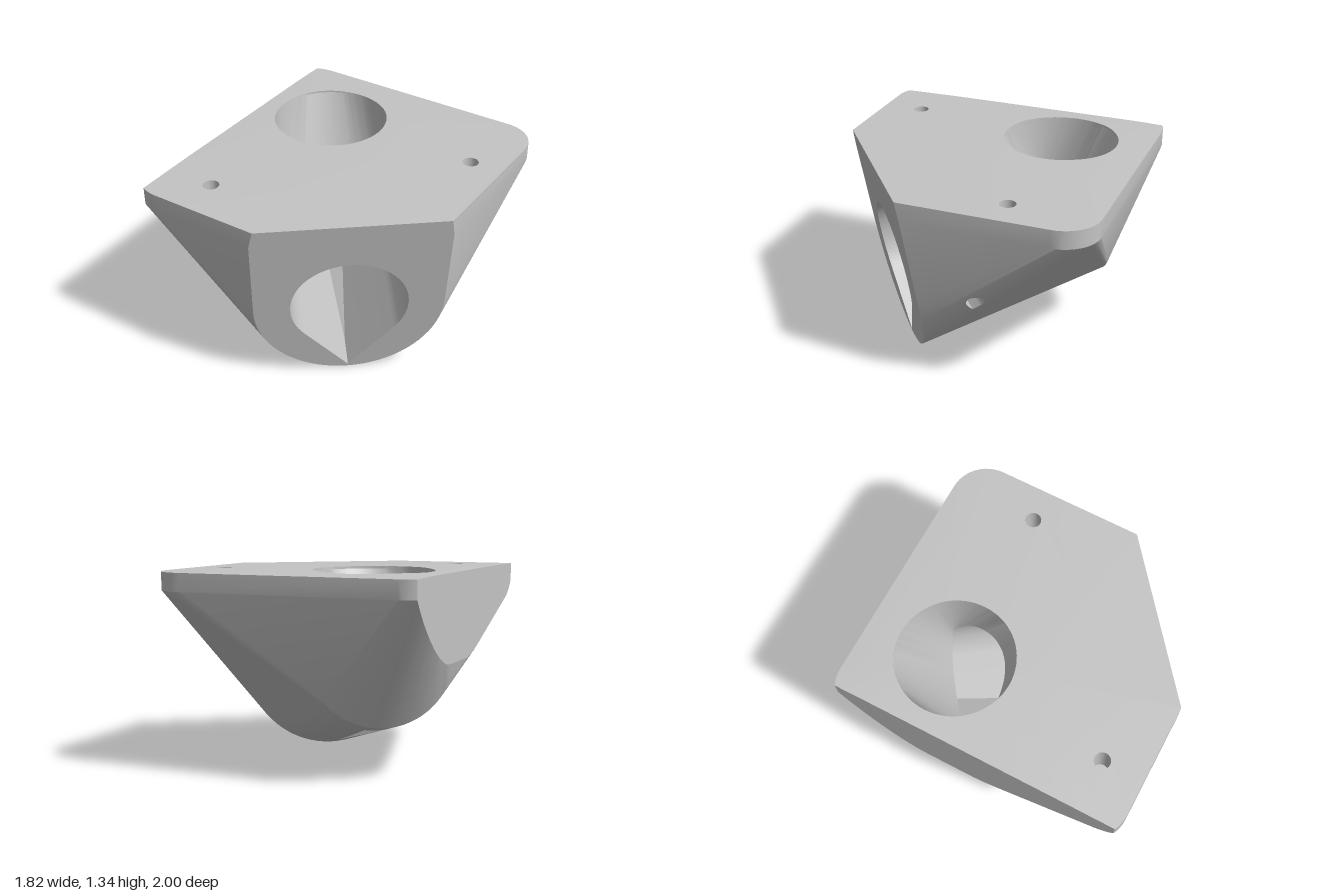
import * as THREE from 'three';
import { toCreasedNormals } from 'three/addons/utils/BufferGeometryUtils.js';
import { ConvexGeometry } from 'three/addons/geometries/ConvexGeometry.js';

const EPS = 1e-6;
const V = (x, y, z) => new THREE.Vector3(x, y, z);
const UP = V(0, 1, 0);
const OUT = V(0.63, 0, 0.777).normalize();   // horizontal heading of the bore mouth
const SIDE = V(OUT.z, 0, -OUT.x);            // horizontal, across the bore

// The bore rises by this angle towards the back
const TILT = Math.PI / 18;
const BORE_UP = OUT.clone().multiplyScalar(Math.sin(TILT)).addScaledVector(UP, Math.cos(TILT));
const BORE_BACK = OUT.clone().multiplyScalar(-Math.cos(TILT)).addScaledVector(UP, Math.sin(TILT));

// Circle, or teardrop when a tip distance is given (tip points along -v)
function section(center, u, v, r, n, tip = 0) {
  const gap = tip ? Math.acos(r / tip) : 0;
  const pts = [];
  for (let i = 0; i < n + (tip ? 1 : 0); i++) {
    const a = -Math.PI / 2 + gap + (i / n) * (2 * Math.PI - 2 * gap);
    pts.push(center.clone().addScaledVector(u, r * Math.cos(a)).addScaledVector(v, r * Math.sin(a)));
  }
  if (tip) pts.push(center.clone().addScaledVector(v, -tip));
  return pts;
}

// Convex solid: polygons with smooth vertex normals, and its bounding planes
function solid(points) {
  const g = toCreasedNormals(new ConvexGeometry(points), 0.33);
  const p = g.attributes.position, nn = g.attributes.normal;
  const polys = [], planes = [];
  for (let i = 0; i < p.count; i += 3) {
    const poly = [0, 1, 2].map((k) => ({
      p: new THREE.Vector3().fromBufferAttribute(p, i + k),
      n: new THREE.Vector3().fromBufferAttribute(nn, i + k),
    }));
    const tri = new THREE.Triangle(poly[0].p, poly[1].p, poly[2].p);
    if (tri.getArea() < 1e-7) continue;
    polys.push(poly);
    const plane = tri.getPlane(new THREE.Plane());
    const known = planes.some((q) => q.normal.dot(plane.normal) > 1 - 1e-8 && Math.abs(q.constant - plane.constant) < 1e-5);
    if (!known) planes.push(plane);
  }
  return { polys, planes };
}

// Splits a polygon into the parts in front of and behind a plane
function split(poly, plane) {
  const s = poly.map((v) => plane.distanceToPoint(v.p));
  if (!s.some((d) => d < -EPS)) return [poly, null];
  if (!s.some((d) => d > EPS)) return [null, poly];
  const front = [], back = [];
  poly.forEach((a, i) => {
    const j = (i + 1) % poly.length, b = poly[j];
    if (s[i] >= -EPS) front.push(a);
    if (s[i] <= EPS) back.push(a);
    if ((s[i] > EPS && s[j] < -EPS) || (s[i] < -EPS && s[j] > EPS)) {
      const t = s[i] / (s[i] - s[j]);
      const m = { p: a.p.clone().lerp(b.p, t), n: a.n.clone().lerp(b.n, t).normalize() };
      front.push(m);
      back.push(m);
    }
  });
  return [front, back];
}

// Part of a polygon inside a convex solid
function inside(poly, planes) {
  for (const plane of planes) {
    poly = split(poly, plane)[1];
    if (!poly) return [];
  }
  return [poly];
}

// Parts of a polygon outside a convex solid
function outside(poly, planes) {
  const kept = [];
  let rest = poly;
  for (const plane of planes) {
    const [front, back] = split(rest, plane);
    if (front) kept.push(front);
    if (!back) return [poly];
    rest = back;
  }
  return kept;
}

function toMesh(name, polys, material) {
  const pos = [], nor = [];
  for (const poly of polys) {
    for (let i = 1; i < poly.length - 1; i++) {
      for (const v of [poly[0], poly[i], poly[i + 1]]) {
        pos.push(v.p.x, v.p.y, v.p.z);
        nor.push(v.n.x, v.n.y, v.n.z);
      }
    }
  }
  const g = new THREE.BufferGeometry();
  g.setAttribute('position', new THREE.Float32BufferAttribute(pos, 3));
  g.setAttribute('normal', new THREE.Float32BufferAttribute(nor, 3));
  const mesh = new THREE.Mesh(g, material);
  mesh.name = name;
  return mesh;
}

export function createModel() {
  const group = new THREE.Group();
  group.name = 'ductMount';
  const grey = new THREE.MeshStandardMaterial({ color: 0xc4c4c4 });
  grey.name = 'grey plastic';

  const TOP = 1.32, RIM = 1.2, LEFT_CUT = -0.91, BORE_END = 1.185;
  const mouth = V(0.348, 0.613, 0.525);
  const ring = (t, r, n, tip) => section(mouth.clone().addScaledVector(BORE_BACK, t), SIDE, BORE_UP, r, n, tip);

  // Outer body: mounting plate hulled with a tube that tapers towards the back
  const outer = [...ring(0, 0.622, 72), ...ring(1.37, 0.5, 72)];
  for (const y of [RIM, TOP]) {
    for (const [x, z, start] of [[-0.8, -0.76, 2], [0.665, -0.76, 3], [-0.8, 0.76, 1]]) {
      for (let i = 0; i <= 12; i++) {
        const a = (start + i / 12) * Math.PI / 2;
        outer.push(V(x + 0.24 * Math.cos(a), y, z + 0.24 * Math.sin(a)));
      }
    }
    // Plate corners where the slanted mouth face cuts it
    const d = mouth.dot(OUT) + (y - mouth.y) * Math.tan(TILT);
    outer.push(V((d - OUT.z) / OUT.x, y, 1), V(0.905, y, (d - 0.905 * OUT.x) / OUT.z));
  }
  const body = solid(outer);

  // Flat trim along one side of the body
  const trim = new THREE.Plane(V(-1, 0, 0), LEFT_CUT);
  const trimFace = [[0, -2], [0, 2], [2, 2], [2, -2]].map(([y, z]) => ({ p: V(LEFT_CUT, y, z), n: V(-1, 0, 0) }));
  const bodyFaces = [
    ...body.polys.flatMap((p) => inside(p, [trim])),
    ...inside(trimFace, body.planes),
  ];
  body.planes.push(trim);

  // Hollows: teardrop bore, shaft to the top, screw holes, side hole
  const disc = (x, y, z, r, n) => section(V(x, y, z), V(1, 0, 0), V(0, 0, 1), r, n);
  const screw = (x, z) => solid([...disc(x, 1.4, z, 0.053, 24), ...disc(x, 1.05, z, 0.053, 24)]);
  const sideAt = (s) => section(V(0.447, 0.664, 0.034).addScaledVector(SIDE, s), OUT, UP, 0.053, 20, 0.077);
  const hollows = {
    boreWall: solid([...ring(-0.3, 0.385, 56, 0.604), ...ring(BORE_END, 0.385, 56, 0.604)]),
    shaftWall: solid([
      ...ring(BORE_END, 0.385, 72),
      ...disc(-0.403, TOP, -0.397, 0.387, 72),
      ...disc(-0.403, 1.4, -0.397, 0.387, 72),
    ]),
    backScrewHole: screw(0.68, -0.415),
    frontScrewHole: screw(-0.57, 0.72),
    sideHole: solid([...sideAt(-0.12), ...sideAt(1)]),
  };

  const list = Object.values(hollows);
  const carve = (polys, tools) => tools.reduce((ps, t) => ps.flatMap((p) => outside(p, t.planes)), polys);
  group.add(toMesh('body', carve(bodyFaces, list), grey));

  // Hollow walls, turned inward and trimmed to the body
  for (const [name, tool] of Object.entries(hollows)) {
    const within = tool.polys.flatMap((p) => inside(p, body.planes));
    const walls = carve(within, list.filter((t) => t !== tool))
      .map((p) => p.map((v) => ({ p: v.p, n: v.n.clone().negate() })).reverse());
    group.add(toMesh(name, walls, grey));
  }
  return group;
}
